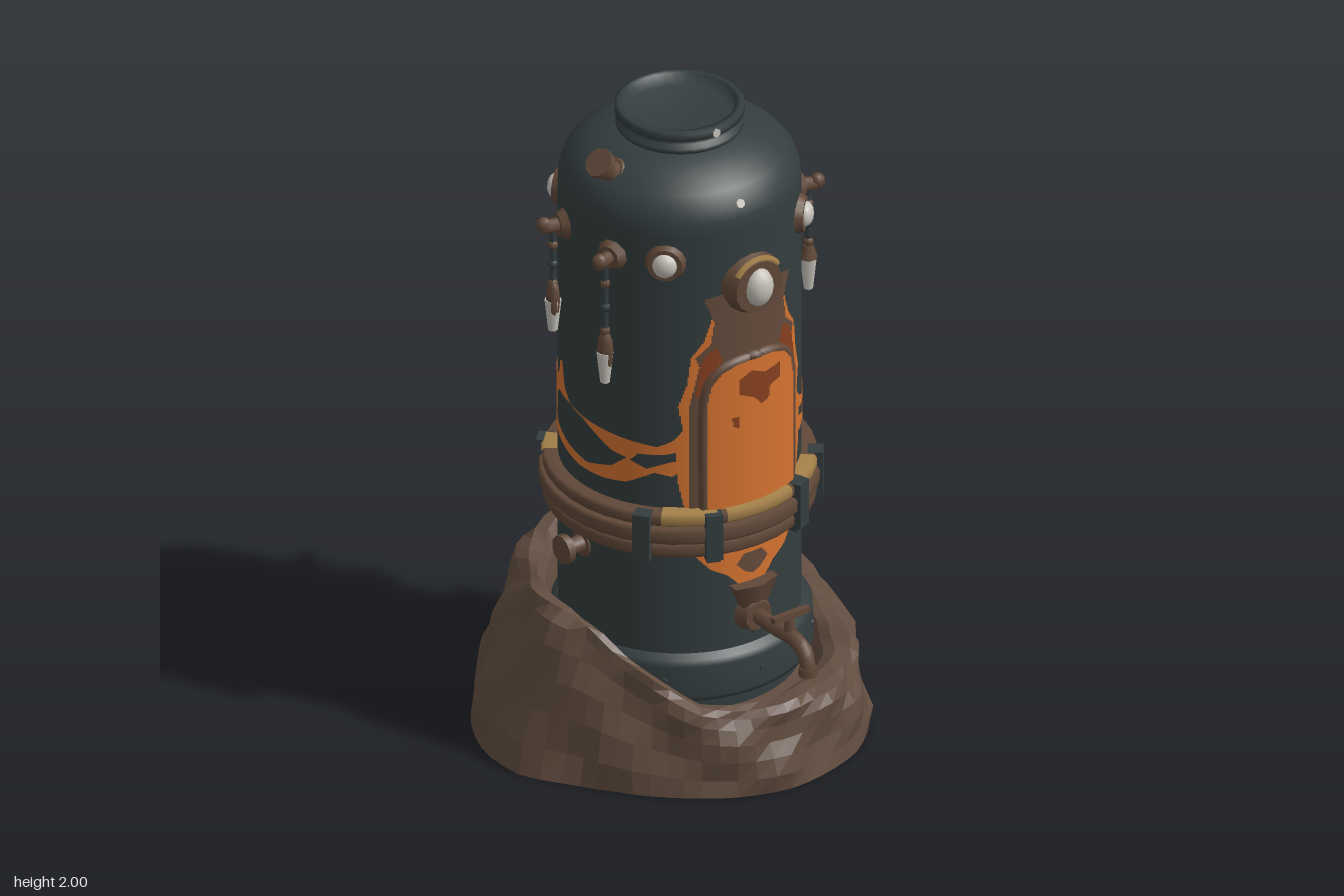
import * as THREE from 'three';

const mat = (name, color, extra = {}) => Object.assign(new THREE.MeshStandardMaterial({ color, ...extra }), { name });
const D2R = Math.PI / 180;

export function createModel() {
  const model = new THREE.Group();
  const iron = mat('darkIron', 0x343d3e);
  const rock = mat('rockBrown', 0x624d40, { flatShading: true, side: THREE.DoubleSide });
  const wood = mat('wornBrown', 0x604838);
  const orange = mat('glowOrange', 0xd57330, { side: THREE.DoubleSide });
  const rust = mat('rustRed', 0x86401f, { side: THREE.DoubleSide });
  const tan = mat('brassTan', 0xa38049);
  const bone = mat('boneWhite', 0xc6c2ba);
  const trim = mat('trimBrown', 0x644a3b, { side: THREE.DoubleSide });

  const tank = new THREE.Group();
  tank.name = 'tank';
  tank.position.z = -0.02;
  model.add(tank);

  const add = (parent, name, geo, m, x = 0, y = 0, z = 0) => {
    const mesh = new THREE.Mesh(geo, m);
    mesh.name = name;
    mesh.position.set(x, y, z);
    parent.add(mesh);
    return mesh;
  };
  // Group on the tank wall whose +z points outwards; angle 0 is the front, 90 is +x
  const mount = (name, deg, y, r = 0.345) => {
    const g = new THREE.Group();
    g.name = name;
    g.position.set(Math.sin(deg * D2R) * r, y, Math.cos(deg * D2R) * r);
    g.rotation.y = deg * D2R;
    tank.add(g);
    return g;
  };
  const lathe = (pts, seg = 72, start = 0, len = 360) =>
    new THREE.LatheGeometry(pts.map(p => new THREE.Vector2(p[0], p[1])), seg, start * D2R, len * D2R);
  const outCyl = (r1, r0, h, seg = 14) => new THREE.CylinderGeometry(r1, r0, h, seg).rotateX(Math.PI / 2);
  const onWall = (deg, y, r) => new THREE.Vector3(Math.sin(deg * D2R) * r, y, Math.cos(deg * D2R) * r);

  // Thin paint wrapped on the wall: loops of [degrees, y], even-odd filled in narrow columns
  const paint = (name, m, loops, r = 0.348, step = 0.75) => {
    const pos = [];
    const degs = loops.flat().map(p => p[0]);
    for (let a = Math.min(...degs); a < Math.max(...degs); a += step) {
      const mid = a + step / 2, ys = [];
      for (const loop of loops) loop.forEach((p, i) => {
        const q = loop[(i + 1) % loop.length];
        if ((p[0] <= mid) !== (q[0] <= mid)) ys.push(p[1] + (q[1] - p[1]) * (mid - p[0]) / (q[0] - p[0]));
      });
      ys.sort((u, v) => u - v);
      for (let i = 0; i + 1 < ys.length; i += 2) {
        const A = onWall(a, ys[i], r), B = onWall(a + step, ys[i], r);
        const C = onWall(a + step, ys[i + 1], r), D = onWall(a, ys[i + 1], r);
        for (const v of [A, B, C, A, C, D]) pos.push(v.x, v.y, v.z);
      }
    }
    const g = new THREE.BufferGeometry();
    g.setAttribute('position', new THREE.Float32BufferAttribute(pos, 3));
    g.computeVertexNormals();
    return add(tank, name, g, m);
  };
  const flip = loop => loop.map(([a, y]) => [-a, y]);
  const both = half => [...half, ...flip(half).reverse()];

  // Tank wall, shoulder and open neck
  add(tank, 'tankBody', lathe([[0.345, 0.2], [0.345, 1.75], [0.342, 1.79], [0.328, 1.83], [0.3, 1.865], [0.26, 1.895],
    [0.21, 1.92], [0.17, 1.93]]), iron);
  add(tank, 'footRing', lathe([[0.345, 0.25], [0.375, 0.25], [0.38, 0.265], [0.376, 0.36], [0.365, 0.375], [0.347, 0.39]]), iron);
  add(tank, 'neck', lathe([[0.165, 1.915], [0.182, 1.935], [0.182, 1.947], [0.168, 1.955], [0.168, 1.965], [0.185, 1.975],
    [0.185, 1.995], [0.175, 2], [0.16, 2], [0.148, 1.965], [0, 1.962]], 32), iron);
  for (let a = 0; a < 360; a += 45) add(mount('footBolt', a + 2, 0.315, 0.376), 'bolt', outCyl(0.009, 0.011, 0.012, 8), iron);

  // Rock base: uneven loft around the tank foot, one radius and height per 15 degrees; tall parts lean inwards
  const radii = [.52, .525, .535, .53, .505, .52, .565, .595, .607, .62, .64, .635, .61, .62, .635, .6, .605, .605, .58, .51, .48, .473, .48, .5];
  const tops = [.25, .255, .25, .24, .245, .25, .255, .26, .29, .36, .46, .51, .52, .52, .5, .48, .48, .49, .49, .46, .39, .33, .27, .25];
  const N = 60;
  const sample = (t, a) => {
    const f = a / 15, i = Math.floor(f), k = f - i;
    return t[i % 24] * (1 - k) + t[(i + 1) % 24] * k;
  };
  // Each row: share of the height, share of the way from the outer slope to the tank
  const rows = [[0, 1], [0, 0], [0.2, 0], [0.42, 0], [0.62, 0], [0.8, 0], [0.93, 0.03], [1, 0.2], [1, 0.55], [0.93, 0.8], [0.7, 1]];
  const rp = [], ri = [];
  rows.forEach(([fy, inward], j) => {
    for (let i = 0; i <= N; i++) {
      const a = (i % N) * 360 / N, H = sample(tops, a), t = a * D2R;
      const wobble = j < 2 ? 0 : 0.011 * Math.sin(t * 7 + j * 1.1) + 0.007 * Math.sin(t * 13 - j * 1.7);
      const outer = Math.max(sample(radii, a) * (1 - H * H * fy ** 1.4) + wobble, 0.42);
      const r = j ? outer + (0.37 - outer) * inward : 0;
      rp.push(Math.sin(t) * r, H * fy + (j < 10 ? 0.5 * wobble : 0), Math.cos(t) * r);
      if (j && i < N) {
        const p = (j - 1) * (N + 1) + i, q = p + N + 1;
        ri.push(p, p + 1, q + 1, p, q + 1, q);
      }
    }
  });
  const rg = new THREE.BufferGeometry();
  rg.setAttribute('position', new THREE.Float32BufferAttribute(rp, 3));
  rg.setIndex(ri);
  rg.computeVertexNormals();
  add(model, 'rockBase', rg, rock);

  // Orange veins flowing round each side to a narrow peak at the back
  const vein = [[24, 1.17], [33, 1.13], [40, 1.085], [47, 1.065], [62, 1.075], [85, 1.09], [99, 1.1], [106, 1.14], [109, 1.21], [112, 1.2],
    [115, 1.15], [123, 1.13], [138, 1.145], [150, 1.18], [162, 1.26], [170, 1.36], [175, 1.47], [174, 1.53], [168, 1.59], [180, 1.57],
    [180, 0.84], [160, 0.85], [150, 0.93], [123, 0.955], [90, 0.925], [75, 0.925], [62, 0.935], [48, 0.98], [40, 0.97], [32, 1.0], [24, 0.95]];
  const gap = [[62, 1.015], [70, 1.025], [80, 1.06], [88, 1.085], [100, 1.1], [113, 1.1], [121, 1.07], [122, 1.03], [116, 0.985], [100, 0.965], [85, 0.95], [70, 0.975]];
  const slit = [[31, 1.06], [44, 1.04], [56, 1.035], [60, 1.01], [52, 0.99], [42, 1.015], [31, 1.03]];
  paint('leftVein', orange, [vein, gap, slit]);
  paint('rightVein', orange, [flip(vein), flip(gap), flip(slit)]);
  paint('backLowerGlow', orange, [[[154, 0.76], [162, 0.7], [170, 0.66], [180, 0.6], [190, 0.66], [198, 0.7], [206, 0.76]]]);
  for (const a of [163, 178, 196]) paint('backDrip', trim, [[[a - 5, 0.68], [a - 1, 0.62], [a, 0.44], [a + 3, 0.45], [a + 3, 0.6], [a + 7, 0.67], [a + 2, 0.65]]], 0.35);

  // Front shrine: flame outline, brown surround, raised arched window and its frame
  paint('frontFlame', orange, [both([[0, 1.5], [20, 1.5], [25, 1.41], [31, 1.36], [33, 1.27], [37, 1.2], [35, 1.13], [38, 1.05], [37, 0.95], [34, 0.86], [0, 0.86]])], 0.35);
  paint('surround', trim, [both([[0, 1.56], [16, 1.56], [25, 1.55], [20, 1.47], [22, 1.4], [29, 1.36], [27, 1.33], [32, 1.2], [32, 0.86], [0, 0.86]])], 0.353);
  paint('scorchLeft', rust, [[[16, 1.34], [19, 1.39], [24, 1.37], [27, 1.33], [29, 1.24], [25, 1.22], [23, 1.3]]], 0.356);
  paint('scorchRight', rust, [[[-16, 1.34], [-19, 1.39], [-24, 1.37], [-27, 1.33], [-29, 1.24], [-25, 1.22], [-23, 1.3]]], 0.356);
  const arch = w => [[w, 0.86], [w, 1.21], [w * 0.93, 1.27], [w * 0.72, 1.31], [w * 0.4, 1.33], [0, 1.335]];
  paint('window', orange, [both(arch(24))], 0.371);
  paint('windowStain', rust, [[[-9, 1.28], [-3, 1.3], [4, 1.28], [13, 1.29], [13, 1.24], [7, 1.23], [6, 1.19], [2, 1.18], [-2, 1.21], [-9, 1.23]],
    [[-13, 1.16], [-9, 1.16], [-9, 1.12], [-12, 1.13]]], 0.374);
  const framePath = both(arch(25)).map(([a, y]) => onWall(a, y, 0.355));
  add(tank, 'windowFrame', new THREE.TubeGeometry(new THREE.CatmullRomCurve3(framePath, false, 'centripetal'), 64, 0.0155, 6), trim);
  paint('frontLowerGlow', orange, [both([[0, 0.57], [7, 0.59], [13, 0.63], [22, 0.66], [31, 0.72], [34, 0.76], [0, 0.76]])]);
  paint('frontLowerTrim', trim, [both([[0, 0.69], [5, 0.69], [9, 0.66], [4, 0.63], [0, 0.62]])], 0.351);

  // Belt of three bands with brass sections and iron clips
  const band = (name, m, y, h, r, start = 0, len = 360) => add(tank, name,
    lathe([[0.34, y], [r - 0.008, y], [r, y + 0.01], [r, y + h - 0.01], [r - 0.008, y + h], [0.34, y + h]], Math.ceil(len / 10), start, len), m);
  band('beltLower', wood, 0.725, 0.045, 0.39);
  band('beltMiddle', wood, 0.773, 0.05, 0.4);
  band('beltUpper', wood, 0.826, 0.04, 0.39);
  for (const [a, len] of [[-44, 24], [-16, 34], [28, 18], [91, 17], [150, 18], [184, 17], [222, 14]]) band('brassStrip', tan, 0.828, 0.041, 0.393, a, len);
  for (const a of [-52, -22, 24, 52, 135, 225]) {
    const c = mount('beltClip', a, 0.795, 0.385);
    add(c, 'clipPlate', new THREE.BoxGeometry(0.05, 0.145, 0.045), iron);
    add(c, 'clipFoot', new THREE.BoxGeometry(0.04, 0.03, 0.05), iron, 0, -0.07, -0.015);
  }

  // Round bosses with pale domes; the large front one carries a brass arc
  const medallion = (deg, y, s) => {
    const g = mount('medallion', deg, y, 0.335);
    g.scale.setScalar(s);
    add(g, 'rim', outCyl(0.8, 1, 0.5, 14), wood, 0, 0, 0.2);
    const dome = add(g, 'dome', new THREE.SphereGeometry(0.6, 12, 8), bone, 0, 0, 0.43);
    dome.scale.set(0.95, 1, 0.65);
    return g;
  };
  for (const a of [43, -43, 180, 219]) medallion(a, 1.67, 0.063);
  const crest = medallion(0, 1.57, 0.1);
  crest.children[1].scale.x = 0.75;
  const arc = new THREE.TorusGeometry(0.84, 0.11, 5, 14, Math.PI * 0.6).rotateZ(Math.PI * 0.2);
  add(crest, 'brassArc', arc, tan, 0, 0, 0.36);

  // Hooks with hanging charms
  for (const [deg, len] of [[70, 0.35], [107, 0.35], [253, 0.35], [290, 0.41]]) {
    const g = mount('hangingCharm', deg, 1.665);
    add(g, 'hookPlate', outCyl(0.035, 0.05, 0.025, 9), wood, 0, 0, 0.008);
    add(g, 'hookStem', outCyl(0.02, 0.022, 0.06, 7), wood, 0, 0, 0.04);
    add(g, 'hookKnob', new THREE.SphereGeometry(0.023, 7, 5), wood, 0, 0.008, 0.062);
    add(g, 'cord', new THREE.CylinderGeometry(0.01, 0.01, len - 0.1, 6), iron, 0, -(len - 0.1) / 2, 0.035);
    for (let i = 1; i < 4; i++) add(g, 'bead', new THREE.SphereGeometry(0.016, 6, 5), i % 2 ? wood : iron, 0, -i * (len - 0.1) / 4, 0.035);
    if (deg > 180) add(g, 'leaf', new THREE.SphereGeometry(0.07, 8, 6).scale(0.38, 1, 0.3), wood, 0, -len + 0.11, 0.035);
    else add(g, 'charmCap', new THREE.CylinderGeometry(0.014, 0.027, 0.04, 7), wood, 0, -len + 0.13, 0.035);
    add(g, 'charm', new THREE.CylinderGeometry(0.025, 0.014, 0.1, 7), bone, 0, -len + 0.06, 0.035);
  }

  // Side valves and the tilted filler on the shoulder
  const valve = g => {
    add(g, 'flange', outCyl(0.04, 0.052, 0.02), wood, 0, 0, 0.008);
    add(g, 'stem', outCyl(0.024, 0.026, 0.05), wood, 0, 0, 0.04);
    add(g, 'cap', outCyl(0.044, 0.044, 0.022, 10), wood, 0, 0, 0.075);
  };
  valve(mount('leftValve', 90, 0.545));
  valve(mount('rightValve', 270, 0.67, 0.33));
  const filler = mount('filler', 278, 1.87, 0.26);
  filler.rotation.order = 'YXZ';
  filler.rotation.x = -45 * D2R;
  valve(filler);
  add(filler, 'spoutTube', outCyl(0.028, 0.045, 0.08), wood);

  // Tap at the front
  const tap = mount('tap', 0, 0.49);
  add(tap, 'flange', outCyl(0.045, 0.06, 0.04, 9), wood, 0, 0, 0.015);
  add(tap, 'wallTrim', new THREE.ConeGeometry(0.085, 0.18, 6).rotateX(Math.PI).scale(1, 1, 0.5), wood, 0, 0.015, 0.005);
  const pipe = new THREE.CatmullRomCurve3([[0.02, 0], [0.12, 0], [0.2, 0.005], [0.245, -0.01], [0.265, -0.045], [0.268, -0.075]]
    .map(([z, y]) => new THREE.Vector3(0, y, z)));
  add(tap, 'pipe', new THREE.TubeGeometry(pipe, 20, 0.023, 8), wood);
  add(tap, 'nozzle', new THREE.CylinderGeometry(0.026, 0.028, 0.025, 8), wood, 0, -0.07, 0.268);
  add(tap, 'handleStem', new THREE.CylinderGeometry(0.012, 0.02, 0.08, 7), wood, 0, 0.04, 0.18);
  add(tap, 'handleBar', new THREE.BoxGeometry(0.125, 0.018, 0.02), wood, 0, 0.075, 0.185);

  // Small pale marks on shoulder and neck
  const star = mount('shoulderMark', -5, 1.83, 0.331);
  star.rotation.x = -0.5;
  add(star, 'mark', outCyl(0.014, 0.014, 0.008, 6), bone);
  add(mount('neckMark', -2, 1.985, 0.185), 'mark', outCyl(0.013, 0.013, 0.008, 6), bone);
  return model;
}
